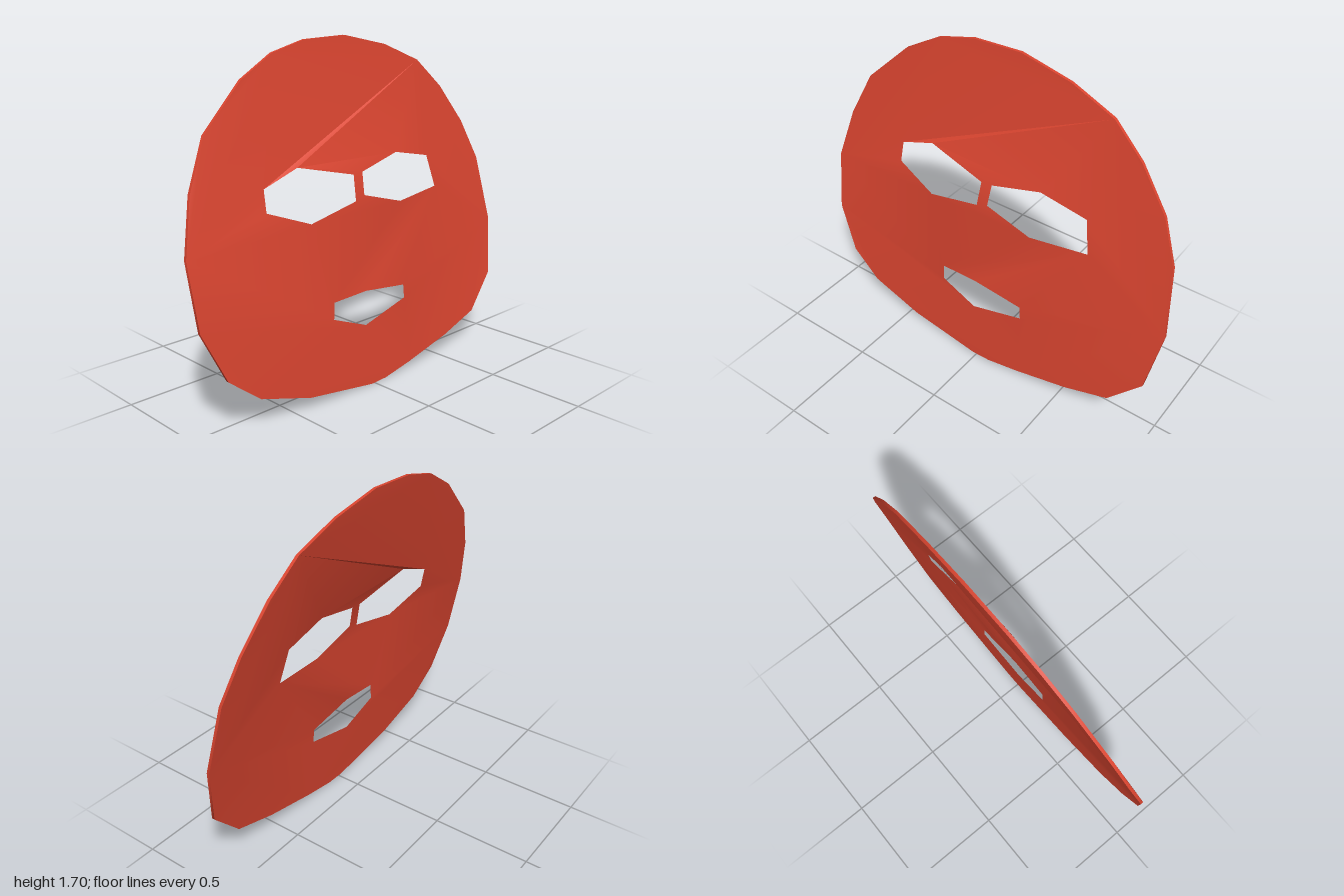
import * as THREE from 'three';
import { toCreasedNormals } from 'three/addons/utils/BufferGeometryUtils.js';

const THICKNESS = 0.015;
const points = (list) => list.map(([u, y]) => new THREE.Vector2(u, y));

// Face outline and openings, as [-z, y]
const OUTLINE = [
  [0.06, 1.7], [0.33, 1.645], [0.56, 1.555], [0.72, 1.41], [0.87, 1.21], [0.96, 1.0],
  [1, 0.66], [0.95, 0.355], [0.785, 0.175], [0.55, 0.1], [0.26, 0.035], [0.08, 0.003],
  [-0.02, 0], [-0.42, 0.06], [-0.71, 0.15], [-0.875, 0.28], [-0.985, 0.52],
  [-1, 0.83], [-0.93, 1.09], [-0.82, 1.32], [-0.59, 1.535], [-0.4, 1.64], [-0.2, 1.69],
];
const LEFT_EYE = [[-0.56, 1.06], [-0.365, 1.13], [-0.04, 1.055], [-0.05, 0.93], [-0.335, 0.87], [-0.565, 0.955]];
const RIGHT_EYE = [[0.02, 1.06], [0.28, 1.12], [0.525, 1.07], [0.56, 0.905], [0.26, 0.88], [0.01, 0.95]];
const MOUTH = [[-0.235, 0.475], [-0.03, 0.485], [0.245, 0.45], [0.25, 0.38], [-0.035, 0.31], [-0.24, 0.39]];

// Sideways lean of the rim by height, as [y, x]
const LEAN = [[0, 0.128], [0.2, 0.112], [0.4, 0.088], [0.8, 0.018], [1.2, -0.068], [1.7, -0.145]];
function leanAt(y) {
  let i = 0;
  while (i < LEAN.length - 2 && y > LEAN[i + 1][0]) i++;
  const [y0, x0] = LEAN[i], [y1, x1] = LEAN[i + 1];
  return THREE.MathUtils.lerp(x0, x1, (y - y0) / (y1 - y0));
}

// Shallow bulge around the eyes, fading to nothing at the rim
const bulgeAt = (y, z) => 0.055 * Math.max(0, 1 - (z / 0.7) ** 2 - ((y - 1) / 0.65) ** 2);

export function createModel() {
  const group = new THREE.Group();
  group.name = 'mask';
  const red = new THREE.MeshStandardMaterial({ color: 0xdb4530 });
  red.name = 'red';

  // Thin sheet with eye and mouth openings
  const shape = new THREE.Shape(points(OUTLINE));
  for (const hole of [LEFT_EYE, RIGHT_EYE, MOUTH]) shape.holes.push(new THREE.Path(points(hole)));
  const sheet = new THREE.ExtrudeGeometry(shape, { depth: THICKNESS, bevelEnabled: false });
  sheet.rotateY(Math.PI / 2);

  // Lean and bulge the sheet
  const pos = sheet.attributes.position;
  for (let i = 0; i < pos.count; i++) {
    const y = pos.getY(i), z = pos.getZ(i);
    pos.setX(i, pos.getX(i) + leanAt(y) + bulgeAt(y, z));
  }

  const face = new THREE.Mesh(toCreasedNormals(sheet, 0.6), red);
  face.name = 'maskFace';
  group.add(face);
  return group;
}
